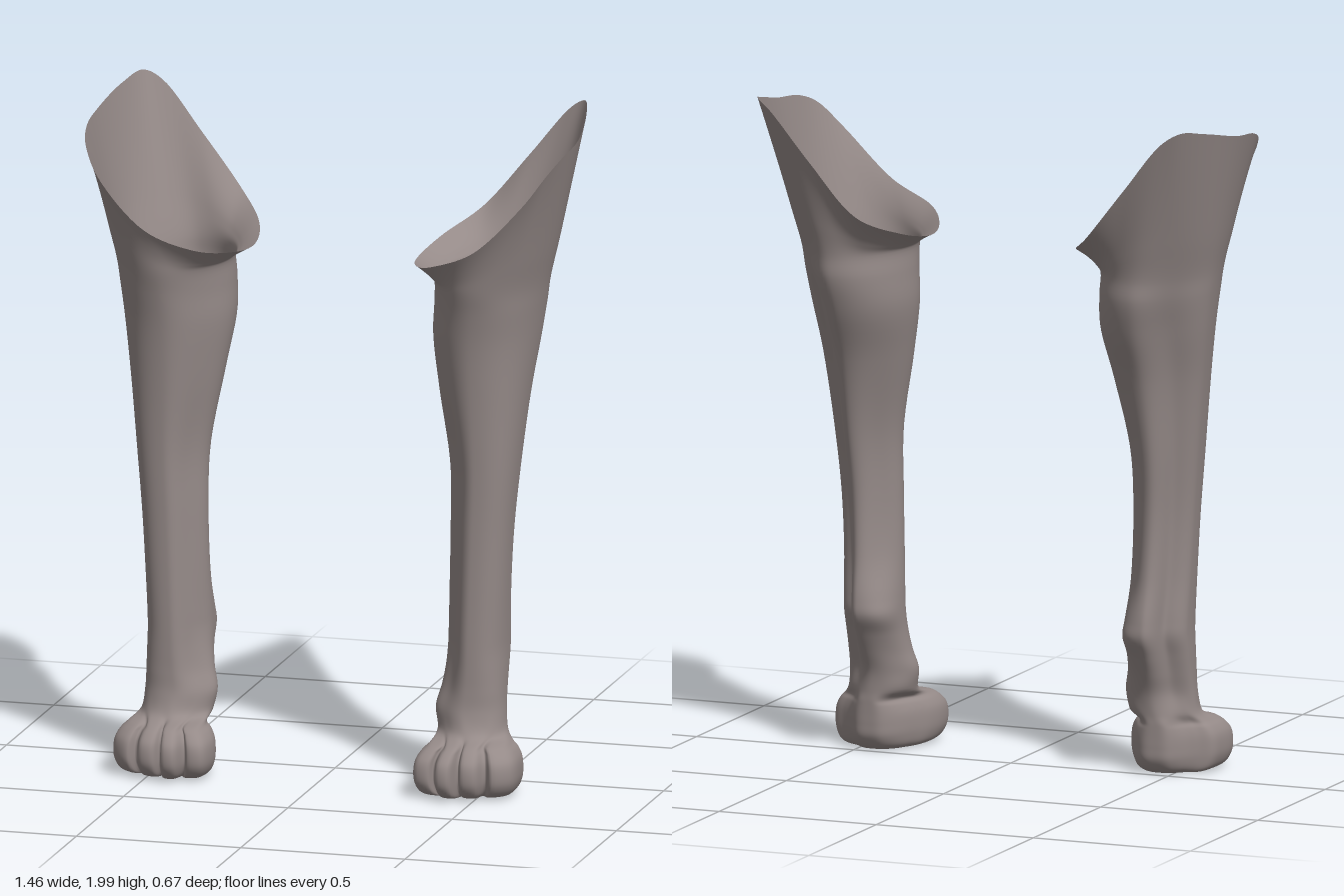
import * as THREE from 'three';

const COLUMNS = 112, ROWS = 130;

const closedCurve = points =>
  new THREE.CatmullRomCurve3(points.map(p => new THREE.Vector3(...p)), true);

// Paw outline (x, z): four toes across the front, then round the narrow heel
const PAW = closedCurve([
  [0.61, 0.15], [0.605, 0.24], [0.555, 0.28], [0.53, 0.258], [0.51, 0.305], [0.47, 0.31],
  [0.453, 0.278], [0.435, 0.327], [0.40, 0.327], [0.38, 0.275], [0.365, 0.298], [0.325, 0.29],
  [0.31, 0.22], [0.32, 0.15], [0.345, 0.10], [0.365, 0.06], [0.39, 0.025], [0.42, 0.003],
  [0.455, 0], [0.49, 0.005], [0.515, 0.025], [0.54, 0.055], [0.565, 0.075], [0.60, 0.10],
].map(([x, z]) => [x, 0, z]));

// Paw levels: y, scale of the outline, scale of the heel's depth
const PAW_LEVELS = [
  [0.022, 0.35, 0.35], [0.012, 0.66, 0.5], [0.025, 0.88, 0.75], [0.055, 0.98, 0.97],
  [0.09, 1, 1], [0.122, 0.97, 1], [0.146, 0.88, 1], [0.162, 0.77, 1],
];

// Leg sections: y, inner x, outer x, back z, front z, then how far each corner is pared away:
// outer front, inner front, inner back, outer back
const SECTIONS = [
  [0.19, 0.345, 0.555, 0.0, 0.205, 0, 0.08, 0, 0.15],
  [0.25, 0.334, 0.547, -0.006, 0.182, -0.05, 0.1, 0.05, 0.25],
  [0.31, 0.348, 0.545, -0.03, 0.176, -0.08, 0.15, 0.05, 0.3],
  [0.37, 0.357, 0.545, -0.06, 0.175, -0.08, 0.15, 0, 0.35],
  [0.43, 0.36, 0.545, -0.09, 0.175, -0.08, 0.15, -0.08, 0.38],
  [0.48, 0.362, 0.546, -0.088, 0.175, -0.08, 0.15, -0.02, 0.38],
  [0.60, 0.367, 0.55, -0.066, 0.175, -0.08, 0.16, 0.12, 0.33],
  [0.78, 0.371, 0.56, -0.06, 0.176, -0.08, 0.16, 0.15, 0.3],
  [0.97, 0.368, 0.577, -0.085, 0.181, -0.08, 0.15, 0.13, 0.28],
  [1.20, 0.33, 0.603, -0.14, 0.194, -0.05, 0.08, 0.04, 0.25],
  [1.36, 0.307, 0.626, -0.205, 0.209, -0.03, 0.05, 0, 0.22],
  [1.46, 0.311, 0.640, -0.235, 0.226, -0.02, 0.04, 0, 0.16],
  [1.53, 0.313, 0.650, -0.238, 0.242, 0, 0.02, 0, 0.1],
];

// Slanted open rim, from the outer side round by the front
const RIM = closedCurve([
  [0.73, 1.945, -0.03], [0.722, 1.925, 0.12], [0.70, 1.89, 0.205], [0.645, 1.81, 0.265],
  [0.50, 1.665, 0.283], [0.36, 1.605, 0.245], [0.275, 1.575, 0.11], [0.25, 1.57, -0.02],
  [0.28, 1.60, -0.17], [0.37, 1.665, -0.295], [0.50, 1.82, -0.325], [0.62, 1.965, -0.333],
  [0.67, 1.997, -0.31], [0.705, 1.982, -0.21],
]);

function pawPoint([y, scale, heel], u) {
  const p = PAW.getPoint(u), dz = p.z - 0.08;
  return new THREE.Vector3(0.46 + (p.x - 0.46) * scale, y, 0.08 + dz * (dz < 0 ? heel : scale));
}

function legPoint([y, x0, x1, zb, zf, ...pare], u) {
  const c = Math.cos(u * Math.PI * 2), s = Math.sin(u * Math.PI * 2);
  const corner = Math.floor(u * 4) % 4;
  const r = 1 - pare[corner] * 4 * s * s * c * c;
  return new THREE.Vector3(
    (x0 + x1) / 2 + (x1 - x0) / 2 * c * r, y,
    (zb + zf) / 2 + (zf - zb) / 2 * s * r);
}

// The flare from the leg to the rim, straighter on the outer side
function flarePoint(t, u) {
  const a = legPoint(SECTIONS[SECTIONS.length - 1], u), b = RIM.getPoint(u);
  const out = Math.pow(t, 1.1 - 0.15 * Math.cos(u * Math.PI * 2));
  return new THREE.Vector3(
    THREE.MathUtils.lerp(a.x, b.x, out),
    THREE.MathUtils.lerp(a.y, b.y, t),
    THREE.MathUtils.lerp(a.z, b.z, out));
}

// One smooth skin: a curve up each column from sole to rim
function legGeometry() {
  const pos = [], index = [];
  for (let i = 0; i < COLUMNS; i++) {
    const u = i / COLUMNS;
    const column = new THREE.CatmullRomCurve3([
      ...PAW_LEVELS.map(level => pawPoint(level, u)),
      ...SECTIONS.map(section => legPoint(section, u)),
      ...[0.25, 0.5, 0.75, 1].map(t => flarePoint(t, u)),
    ]);
    for (let r = 0; r <= ROWS; r++) pos.push(...column.getPoint(r / ROWS).toArray());
  }
  const at = (i, r) => (i % COLUMNS) * (ROWS + 1) + r;
  const pole = pos.length / 3;
  pos.push(0.46, 0.025, 0.08);
  for (let i = 0; i < COLUMNS; i++) {
    index.push(pole, at(i, 0), at(i + 1, 0));
    for (let r = 0; r < ROWS; r++) {
      const a = at(i, r), b = at(i + 1, r);
      index.push(a, a + 1, b, b, a + 1, b + 1);
    }
  }
  const g = new THREE.BufferGeometry();
  g.setAttribute('position', new THREE.Float32BufferAttribute(pos, 3));
  g.setIndex(index);
  g.computeVertexNormals();
  return g;
}

export function createModel() {
  const model = new THREE.Group();
  const skin = new THREE.MeshStandardMaterial({ color: 0x958a88, side: THREE.DoubleSide });
  skin.name = 'greyish brown';
  const geometry = legGeometry();

  // Mirrored pair of legs
  for (const side of [1, -1]) {
    const leg = new THREE.Mesh(geometry, skin);
    leg.name = side > 0 ? 'leftLeg' : 'rightLeg';
    leg.scale.x = side;
    model.add(leg);
  }
  return model;
}
